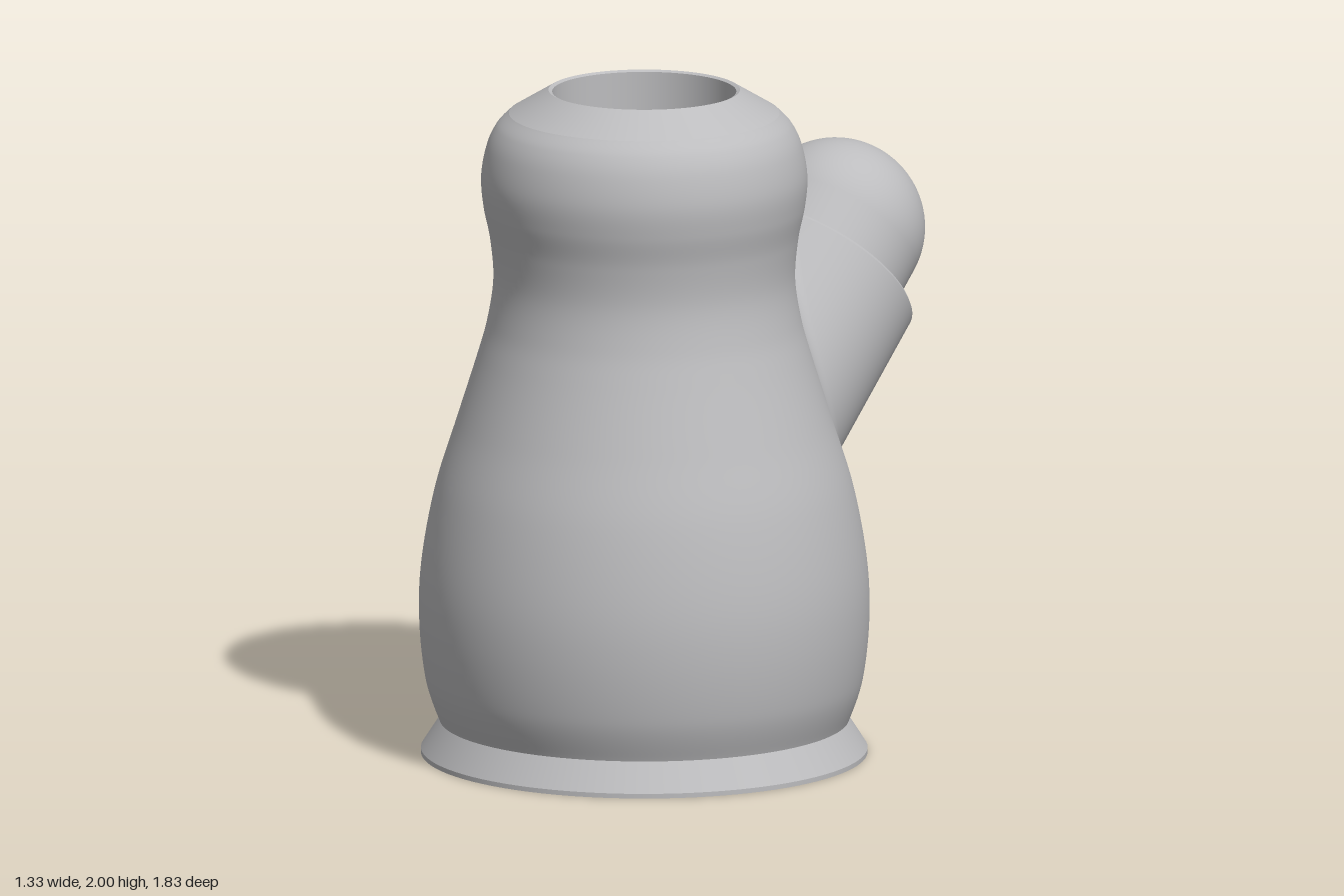
import * as THREE from 'three';

const BODY_Z = 0.247;                          // vertical axis of the body
const BORE = 0.272;
const R = 0.33, FILLET = 0.07, EDGE = 0.01;    // side branch
const RIM = new THREE.Vector3(0, 1.334, -0.548);
const S = Math.SQRT1_2;
const AXIS = new THREE.Vector3(0, S, -S);
const U = new THREE.Vector3(1, 0, 0);
const V = new THREE.Vector3(0, S, S);

const v2 = ([x, y]) => new THREE.Vector2(x, y);

// Curved outline of the body: radius, height
const outline = new THREE.SplineCurve([
  [0.605, 0.10], [0.645, 0.22], [0.665, 0.40], [0.658, 0.58], [0.618, 0.80], [0.556, 1.00],
  [0.493, 1.20], [0.463, 1.31], [0.446, 1.43], [0.455, 1.55], [0.475, 1.65], [0.482, 1.74],
  [0.466, 1.83], [0.438, 1.89], [0.400, 1.93],
].map(v2)).getPoints(140);

function bodyRadius(y) {
  let i = 1;
  while (i < outline.length - 1 && outline[i].y < y) i++;
  const a = outline[i - 1], b = outline[i];
  return a.x + (b.x - a.x) * (y - a.y) / (b.y - a.y);
}

// Approximate distance to the body and its outward normal
function bodyDistance(p) {
  const dz = p.z - BODY_Z, rho = Math.hypot(p.x, dz);
  const slope = (bodyRadius(p.y + 0.02) - bodyRadius(p.y - 0.02)) / 0.04;
  const normal = new THREE.Vector3(p.x / rho, -slope, dz / rho).normalize();
  return { d: (rho - bodyRadius(p.y)) / Math.hypot(1, slope), normal };
}

// One lathe per smooth run, so edges between runs stay sharp
function turned(name, runs, material) {
  const group = new THREE.Group();
  group.name = name;
  for (const run of runs) {
    const points = run.map((p) => (p.isVector2 ? p : v2(p)));
    group.add(new THREE.Mesh(new THREE.LatheGeometry(points, 96), material));
  }
  return group;
}

// Branch wall: a rolling-ball fillet off the body, then a straight tube to the rim
function branchGeometry() {
  const around = 128, arc = 12, rows = arc + 2;
  const pos = [], index = [];
  for (let i = 0; i < around; i++) {
    const a = (i / around) * Math.PI * 2;
    const radial = U.clone().multiplyScalar(Math.cos(a)).addScaledVector(V, Math.sin(a));
    const at = (r, t) => RIM.clone().addScaledVector(radial, r).addScaledVector(AXIS, t);
    let lo = -0.9, hi = 0.15;
    for (let k = 0; k < 40; k++) {
      const mid = (lo + hi) / 2;
      if (bodyDistance(at(R + FILLET, mid)).d > FILLET) hi = mid; else lo = mid;
    }
    const centre = at(R + FILLET, hi);
    const from = bodyDistance(centre).normal.negate(), to = radial.clone().negate();
    const angle = from.angleTo(to);
    for (let j = 0; j < rows; j++) {
      let p;
      if (j <= arc) {
        const s = j / arc;
        p = centre.clone()
          .addScaledVector(from, FILLET * Math.sin((1 - s) * angle) / Math.sin(angle))
          .addScaledVector(to, FILLET * Math.sin(s * angle) / Math.sin(angle));
        // Trim the fillet at the rim plane
        const over = p.clone().sub(RIM).dot(AXIS) + EDGE;
        if (over > 0) p.addScaledVector(AXIS, -over);
      } else p = at(R, -EDGE);
      pos.push(p.x, p.y, p.z);
      if (j < rows - 1) {
        const c = i * rows + j, n = ((i + 1) % around) * rows + j;
        index.push(c, c + 1, n, c + 1, n + 1, n);
      }
    }
  }
  const g = new THREE.BufferGeometry();
  g.setAttribute('position', new THREE.Float32BufferAttribute(pos, 3));
  g.setIndex(index);
  g.computeVertexNormals();
  return g;
}

export function createModel() {
  const model = new THREE.Group();
  const grey = new THREE.MeshStandardMaterial({ color: 0xbcbcbe });
  grey.name = 'grey';

  // Hollow body with flared foot, chamfered mouth and straight bore
  const body = turned('body', [
    [[BORE, 0], [0.66, 0]],
    [[0.66, 0], [0.66, 0.014]],
    [[0.66, 0.014], [0.605, 0.10]],
    outline,
    [[0.40, 1.93], [0.283, 2]],
    [[0.283, 2], [BORE, 1.995]],
    [[BORE, 1.995], [BORE, 0]],
  ], grey);
  body.position.z = BODY_Z;
  model.add(body);

  const branch = new THREE.Mesh(branchGeometry(), grey);
  branch.name = 'sideBranch';
  model.add(branch);

  // Rim ledge and the domed plug standing on it
  const r = 0.265, lift = 0.143, dome = [];
  for (let i = 0; i <= 24; i++) {
    const a = (i / 24) * Math.PI / 2;
    dome.push([i === 24 ? 0 : r * Math.cos(a), lift + r * Math.sin(a)]);
  }
  const plug = turned('domedPlug', [
    [[R, -EDGE], [R - EDGE, 0]],
    [[R - EDGE, 0], [r, 0]],
    [[r, 0], ...dome],
  ], grey);
  plug.position.copy(RIM);
  plug.rotation.x = -Math.PI / 4;
  model.add(plug);

  return model;
}
